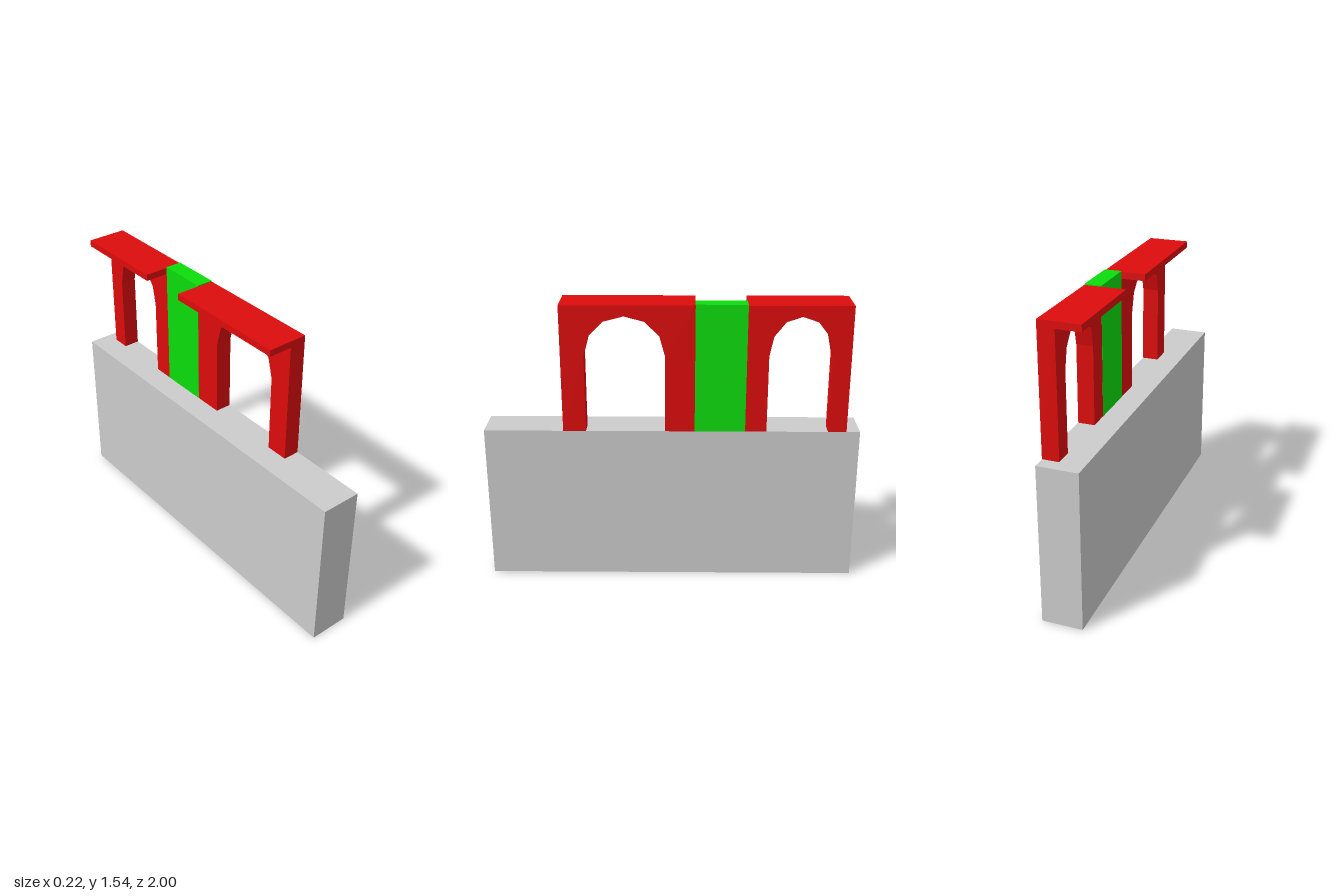
import * as THREE from 'three';

const HALF = 0.108;  // half thickness of the base wall
const INNER = 0.02;  // inner face of the arcade
const BASE = 0.857;  // top of the base wall
const TOP = 1.54;    // top of the arcade

const grey = new THREE.MeshStandardMaterial({ color: 0xcccccc, flatShading: true });
const red = new THREE.MeshStandardMaterial({ color: 0xdd0c0c, flatShading: true });
const green = new THREE.MeshStandardMaterial({ color: 0x0cdd0c, flatShading: true });

// Box given by its minimum and maximum corners
function box(name, material, [x0, y0, z0], [x1, y1, z1]) {
  const mesh = new THREE.Mesh(new THREE.BoxGeometry(x1 - x0, y1 - y0, z1 - z0), material);
  mesh.position.set((x0 + x1) / 2, (y0 + y1) / 2, (z0 + z1) / 2);
  mesh.name = name;
  return mesh;
}

// Two posts joined by a six-sided arch, with a thin canopy behind
function archBay(name, z0, z1, open0, open1) {
  const group = new THREE.Group();
  group.name = name;
  const spring = 1.275, rise = 0.208;
  const mid = (open0 + open1) / 2, radius = (open1 - open0) / 2;

  const shape = new THREE.Shape();
  shape.moveTo(z0, BASE);
  shape.lineTo(open0, BASE);
  for (let i = 0; i <= 6; i++) {
    const a = Math.PI * (1 - i / 6);
    shape.lineTo(mid + radius * Math.cos(a), spring + rise * Math.sin(a));
  }
  shape.lineTo(open1, BASE);
  shape.lineTo(z1, BASE);
  shape.lineTo(z1, TOP);
  shape.lineTo(z0, TOP);
  shape.closePath();

  const geometry = new THREE.ExtrudeGeometry(shape, { depth: HALF - INNER, bevelEnabled: false });
  geometry.rotateY(-Math.PI / 2).translate(HALF, 0, 0);
  const arch = new THREE.Mesh(geometry, red);
  arch.name = 'arch';
  group.add(arch, box('canopy', red, [-HALF, 1.505, z0], [INNER, TOP, z1]));
  return group;
}

export function createModel() {
  const model = new THREE.Group();
  model.name = 'arcadeWall';
  model.add(
    box('baseWall', grey, [-HALF, 0, -1], [HALF, BASE, 1]),
    archBay('wideArchBay', -0.122, 0.577, 0.035, 0.455),
    archBay('narrowArchBay', -0.928, -0.39, -0.83, -0.503),
    // Solid panel between the two arches, slightly taller than them
    box('middlePanel', green, [0.019, BASE, -0.39], [HALF, 1.545, -0.122]),
  );
  return model;
}
